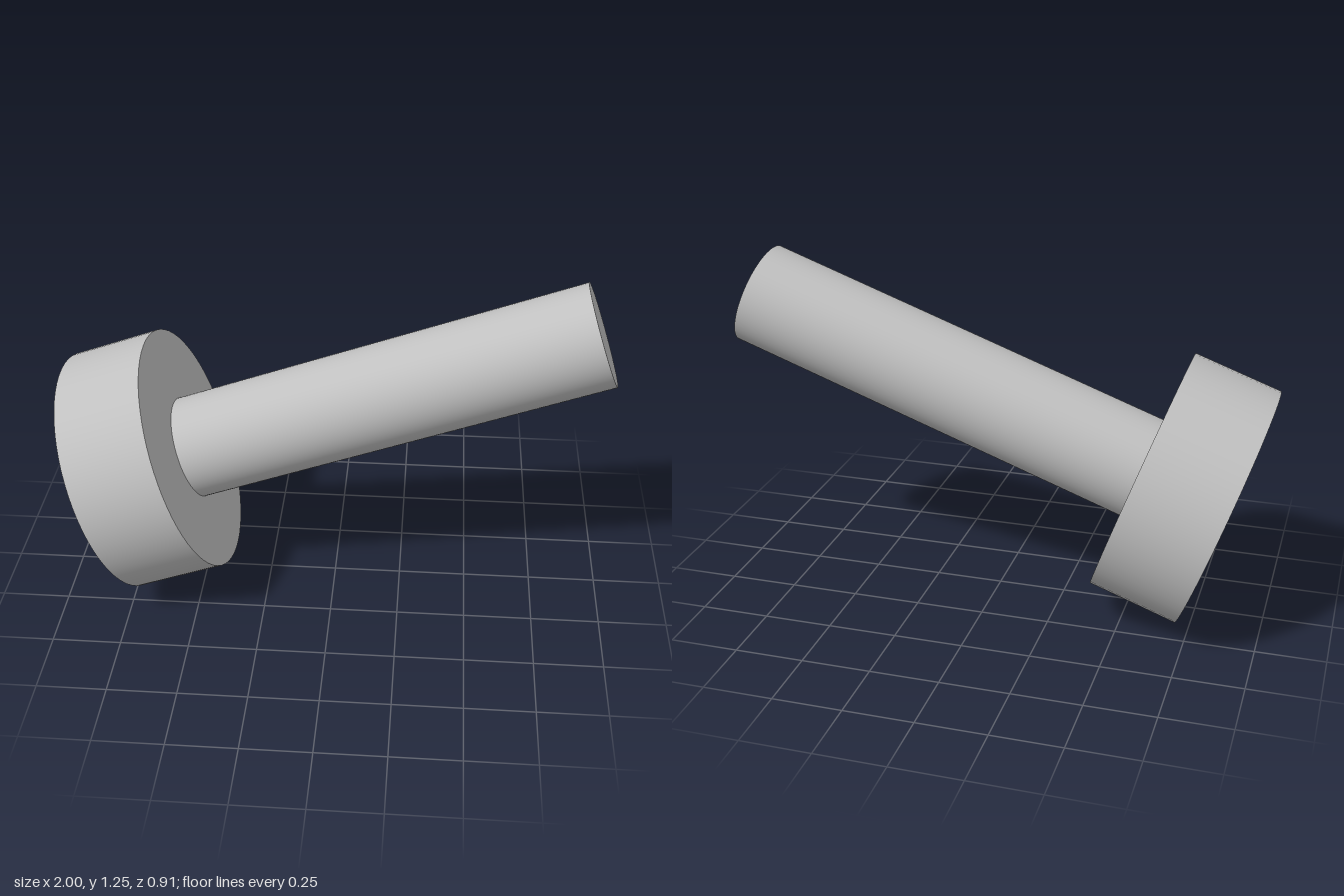
import * as THREE from 'three';

export function createModel() {
  const model = new THREE.Group();
  model.name = 'headedPin';
  const grey = new THREE.MeshStandardMaterial({ color: 0xc0c0c0 });
  grey.name = 'light grey';

  const headRadius = 0.455, headHeight = 0.33;
  const shaftRadius = 0.19, totalLength = 1.893;

  // Pin built along its own y axis, head at the origin
  const pin = new THREE.Group();
  pin.name = 'pin';

  const addCylinder = (name, radius, from, to) => {
    const mesh = new THREE.Mesh(new THREE.CylinderGeometry(radius, radius, to - from, 64), grey);
    mesh.name = name;
    mesh.position.y = (from + to) / 2;
    pin.add(mesh);
  };
  addCylinder('head', headRadius, 0, headHeight);
  addCylinder('shaft', shaftRadius, headHeight, totalLength);

  // Tilt so the shaft rises 20 degrees towards +x, with the head rim on the ground
  const tilt = THREE.MathUtils.degToRad(70);
  pin.rotation.z = -tilt;
  pin.position.set(-1 + headRadius * Math.cos(tilt), headRadius * Math.sin(tilt), 0);
  model.add(pin);
  return model;
}
